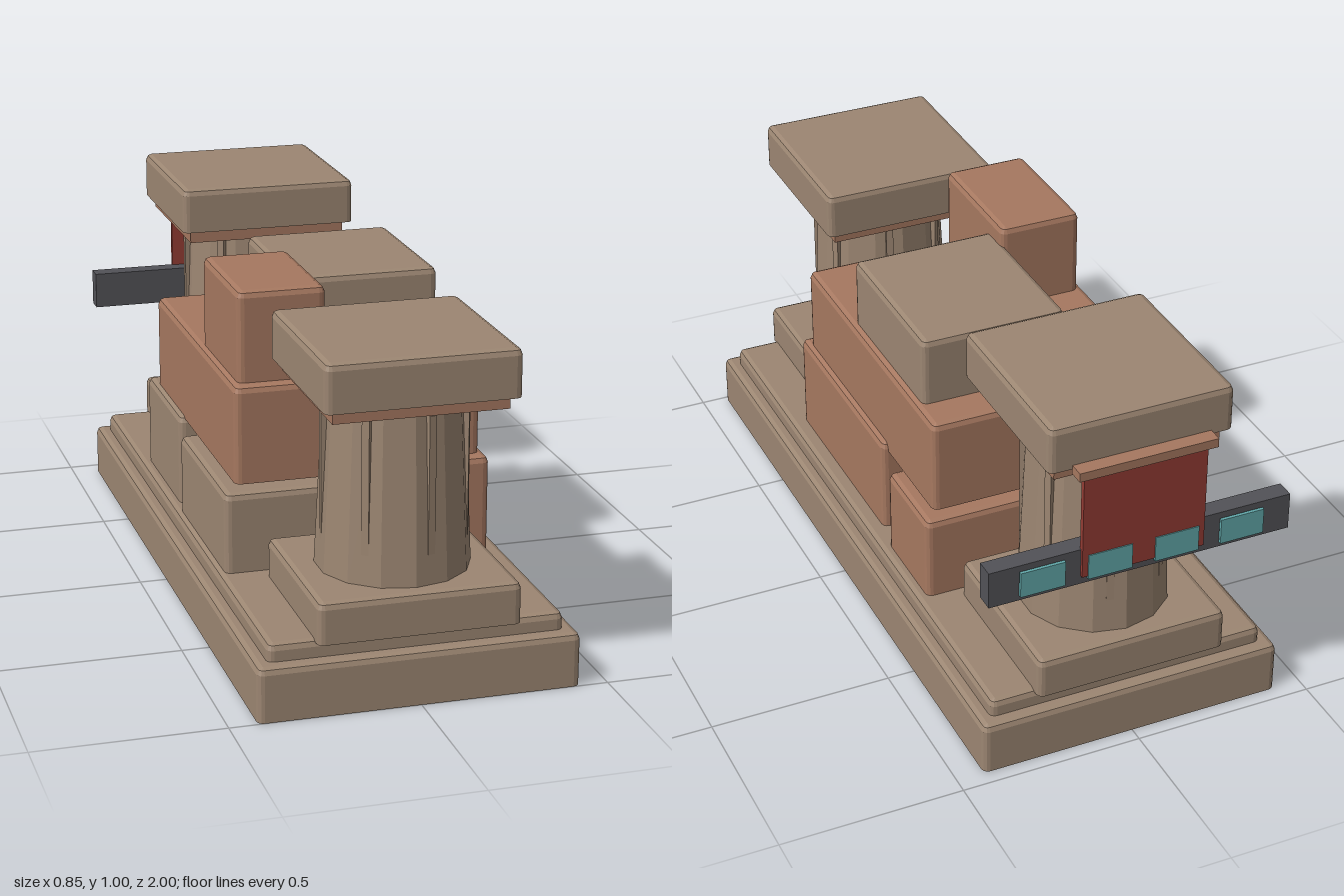
import * as THREE from 'three';

const mat = (name, color, extra = {}) => {
  const m = new THREE.MeshStandardMaterial({ color, flatShading: true, ...extra });
  m.name = name;
  return m;
};

// Block with rounded vertical edges and a softened top, square at the bottom
function blockGeometry([x0, x1], [y0, y1], [z0, z1], r = 0.018) {
  const cx = (x0 + x1) / 2, cz = (z0 + z1) / 2;
  const hx = (x1 - x0) / 2 - r, hz = (z1 - z0) / 2 - r;
  const rings = [[y0, r], [y1 - r, r], [y1 - 0.3 * r, 0.7 * r], [y1, 0.05 * r]];
  const arc = 3, n = 4 * (arc + 1);
  const pos = [], idx = [];
  for (const [y, rad] of rings) {
    for (let q = 0; q < 4; q++) {
      const sx = q === 0 || q === 3 ? 1 : -1, sz = q < 2 ? 1 : -1;
      for (let i = 0; i <= arc; i++) {
        const a = (q + i / arc) * Math.PI / 2;
        pos.push(cx + sx * hx + rad * Math.cos(a), y, cz + sz * hz + rad * Math.sin(a));
      }
    }
  }
  const bottom = pos.length / 3, top = bottom + 1, last = (rings.length - 1) * n;
  pos.push(cx, y0, cz, cx, y1, cz);
  for (let i = 0; i < n; i++) {
    const j = (i + 1) % n;
    for (let k = 0; k < last; k += n) {
      idx.push(k + i, k + n + i, k + j, k + j, k + n + i, k + n + j);
    }
    idx.push(bottom, i, j, top, last + j, last + i);
  }
  const g = new THREE.BufferGeometry();
  g.setAttribute('position', new THREE.Float32BufferAttribute(pos, 3));
  g.setIndex(idx);
  const flat = g.toNonIndexed();
  flat.computeVertexNormals();
  return flat;
}

export function createModel() {
  const model = new THREE.Group();
  model.name = 'ruinMonument';
  const stone = mat('taupeStone', 0x9c8672);
  const clay = mat('terracottaStone', 0xa67860);
  const metal = mat('darkMetal', 0x525257);
  const cloth = mat('redCloth', 0x933c34);
  const glow = mat('tealLight', 0x62a8aa);

  const add = (name, geometry, material, parent = model) => {
    const m = new THREE.Mesh(geometry, material);
    m.name = name;
    parent.add(m);
    return m;
  };
  const block = (name, material, x, y, z, parent) =>
    add(name, blockGeometry(x, y, z), material, parent);
  const box = (name, material, [x0, x1], [y0, y1], [z0, z1], parent) => {
    const m = add(name, new THREE.BoxGeometry(x1 - x0, y1 - y0, z1 - z0), material, parent);
    m.position.set((x0 + x1) / 2, (y0 + y1) / 2, (z0 + z1) / 2);
    return m;
  };

  // Stepped base
  block('base', stone, [-0.425, 0.425], [0, 0.145], [-0.96, 1]);
  block('baseStep', stone, [-0.39, 0.39], [0.14, 0.192], [-0.925, 0.962]);

  // Fluted pillar with plinth, collar and cap
  const pillar = (name, z, collarY, capY, topY) => {
    const g = new THREE.Group();
    g.name = name;
    g.position.z = z;
    model.add(g);
    block('plinth', stone, [-0.267, 0.267], [0.185, 0.296], [-0.243, 0.243], g);
    const h = collarY - 0.29;
    add('column', new THREE.CylinderGeometry(0.18, 0.202, h, 14), stone, g).position.y = 0.29 + h / 2;
    const fh = collarY - 0.015 - 0.34;
    for (let k = 0; k < 7; k++) {
      const a = (k + 0.25) * Math.PI * 2 / 7;
      const f = add('flute', new THREE.BoxGeometry(0.02, fh, 0.02), stone, g);
      f.position.set(Math.sin(a) * 0.183, 0.34 + fh / 2, Math.cos(a) * 0.183);
      f.rotation.y = a;
    }
    box('collar', clay, [-0.228, 0.228], [collarY, capY], [-0.228, 0.228], g);
    block('cap', stone, [-0.253, 0.253], [capY, topY], [-0.253, 0.253], g);
  };
  pillar('frontPillar', 0.745, 0.754, 0.787, 0.914);
  pillar('backPillar', -0.706, 0.838, 0.874, 1);

  // Stacked blocks between the pillars
  block('lowerBlockFrontLeft', clay, [0, 0.343], [0.185, 0.465], [-0.1, 0.515]);
  block('lowerBlockBackLeft', clay, [0.045, 0.36], [0.185, 0.43], [-0.447, -0.178]);
  block('lowerBlockFrontRight', stone, [-0.372, -0.005], [0.185, 0.412], [-0.035, 0.475]);
  block('lowerBlockBackRight', stone, [-0.362, 0.04], [0.185, 0.447], [-0.48, -0.08]);
  block('middleBlock', clay, [-0.345, 0.325], [0.44, 0.705], [-0.412, 0.48]);
  block('upperBlockRight', clay, [-0.327, -0.09], [0.7, 0.95], [0.07, 0.447]);
  block('upperBlockLeft', stone, [-0.105, 0.306], [0.7, 0.896], [-0.305, 0.168]);

  // Rear light bar with four lamps
  box('lightBar', metal, [-0.42, 0.42], [0.536, 0.64], [-0.976, -0.925]);
  for (const x of [-0.278, -0.093, 0.093, 0.278]) {
    box('lamp', glow, [x - 0.061, x + 0.061], [0.552, 0.624], [-0.988, -0.979]);
    box('lampMount', metal, [x - 0.055, x + 0.055], [0.557, 0.619], [-0.98, -0.97]);
  }

  // Hanging cloth and its rail
  box('banner', cloth, [-0.17, 0.17], [0.56, 0.865], [-0.985, -0.97]);
  box('bannerRail', clay, [-0.19, 0.19], [0.86, 0.885], [-1, -0.957]);

  return model;
}
